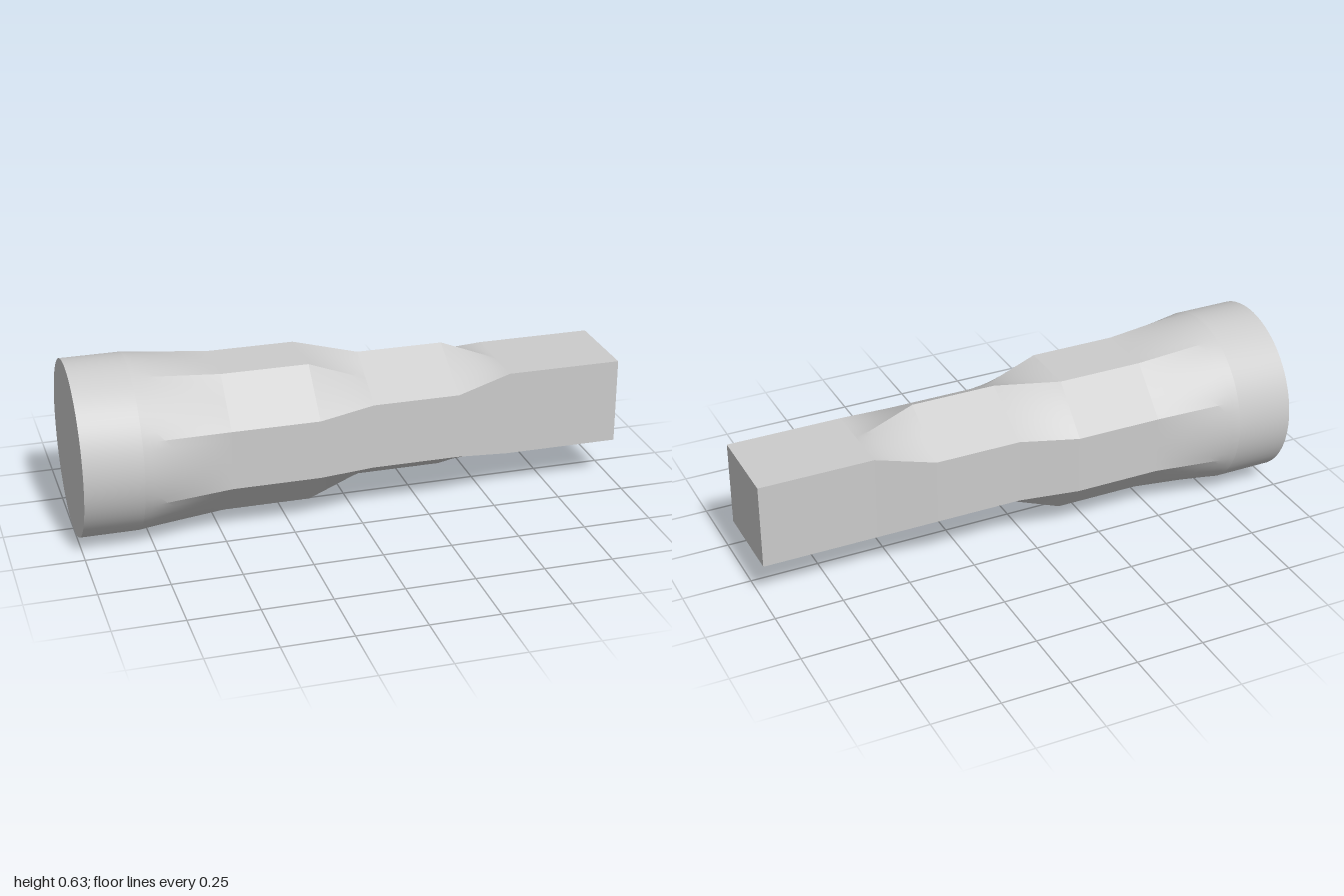
import * as THREE from 'three';
import { toCreasedNormals } from 'three/addons/utils/BufferGeometryUtils.js';

const U = 2 / 19;          // design unit: the bar is 19 units long
const CENTER_Y = 3 * U;
const PER_SIDE = 8;        // samples between neighbouring nodes
const RING = 8 * PER_SIDE;

// A section point is [z, y], measured from the bar's axis
const polar = (r, deg) => {
  const a = THREE.MathUtils.degToRad(deg);
  return [r * Math.cos(a), r * Math.sin(a)];
};
const mix = (a, b, t) => a.map((v, i) => v + (b[i] - v) * t);

// Join eight nodes by straight sides, sampled evenly
const polygon = (nodes) => Array.from({ length: RING }, (_, j) => {
  const k = Math.floor(j / PER_SIDE);
  return mix(nodes[k], nodes[(k + 1) % 8], (j % PER_SIDE) / PER_SIDE);
});

function makeSections() {
  const circle = Array.from({ length: RING }, (_, j) => polar(3 * U, 22.5 + (j * 360) / RING));
  const octagon = polygon(Array.from({ length: 8 }, (_, k) => polar(2.7 * U, 22.5 + 45 * k)));
  // Six corners plus two edge midpoints, so that each octagon corner has a partner
  const h = [30, 90, 150, 210, 270, 330].map((d) => polar(2.3 * U, d));
  const hexagon = polygon([h[0], mix(h[0], h[1], 0.5), h[1], h[2],
    h[3], mix(h[3], h[4], 0.5), h[4], h[5]]);
  const s = 1.5 * U;
  const square = polygon([[s, s], [s / 2, s], [0, s], [-s, s],
    [-s, -s], [-s / 2, -s], [0, -s], [s, -s]]);
  return { circle, octagon, hexagon, square };
}

// Ruled surface between two sections, with optional flat end caps
function loft(x0, a, x1, b, steps, capStart, capEnd) {
  const pos = [];
  const point = (i, j) => {
    const t = i / steps;
    const [z, y] = mix(a[j % RING], b[j % RING], t);
    return [x0 + (x1 - x0) * t, y + CENTER_Y, z];
  };
  for (let i = 0; i < steps; i++) {
    for (let j = 0; j < RING; j++) {
      const p = point(i, j), q = point(i + 1, j);
      const r = point(i + 1, j + 1), s = point(i, j + 1);
      pos.push(...p, ...q, ...s, ...q, ...r, ...s);
    }
  }
  for (let j = 0; j < RING; j++) {
    if (capStart) pos.push(x0, CENTER_Y, 0, ...point(0, j), ...point(0, j + 1));
    if (capEnd) pos.push(x1, CENTER_Y, 0, ...point(steps, j + 1), ...point(steps, j));
  }
  const geo = new THREE.BufferGeometry();
  geo.setAttribute('position', new THREE.Float32BufferAttribute(pos, 3));
  return toCreasedNormals(geo, 0.25);
}

export function createModel() {
  const group = new THREE.Group();
  group.name = 'taperedBar';
  const material = new THREE.MeshStandardMaterial({ color: 0xcccccc });
  const { circle, octagon, hexagon, square } = makeSections();

  // name, start and end in units along the bar, start and end section, steps
  const parts = [
    ['roundEnd', 0, 2, circle, circle, 1],
    ['roundToOctagon', 2, 5, circle, octagon, 12],
    ['octagonalShaft', 5, 8, octagon, octagon, 1],
    ['octagonToHexagon', 8, 10, octagon, hexagon, 12],
    ['hexagonalShaft', 10, 13, hexagon, hexagon, 1],
    ['hexagonToSquare', 13, 15, hexagon, square, 12],
    ['squareEnd', 15, 19, square, square, 1],
  ];
  parts.forEach(([name, from, to, a, b, steps], i) => {
    const geo = loft(from * U - 1, a, to * U - 1, b, steps, i === 0, i === parts.length - 1);
    const mesh = new THREE.Mesh(geo, material);
    mesh.name = name;
    group.add(mesh);
  });
  return group;
}
